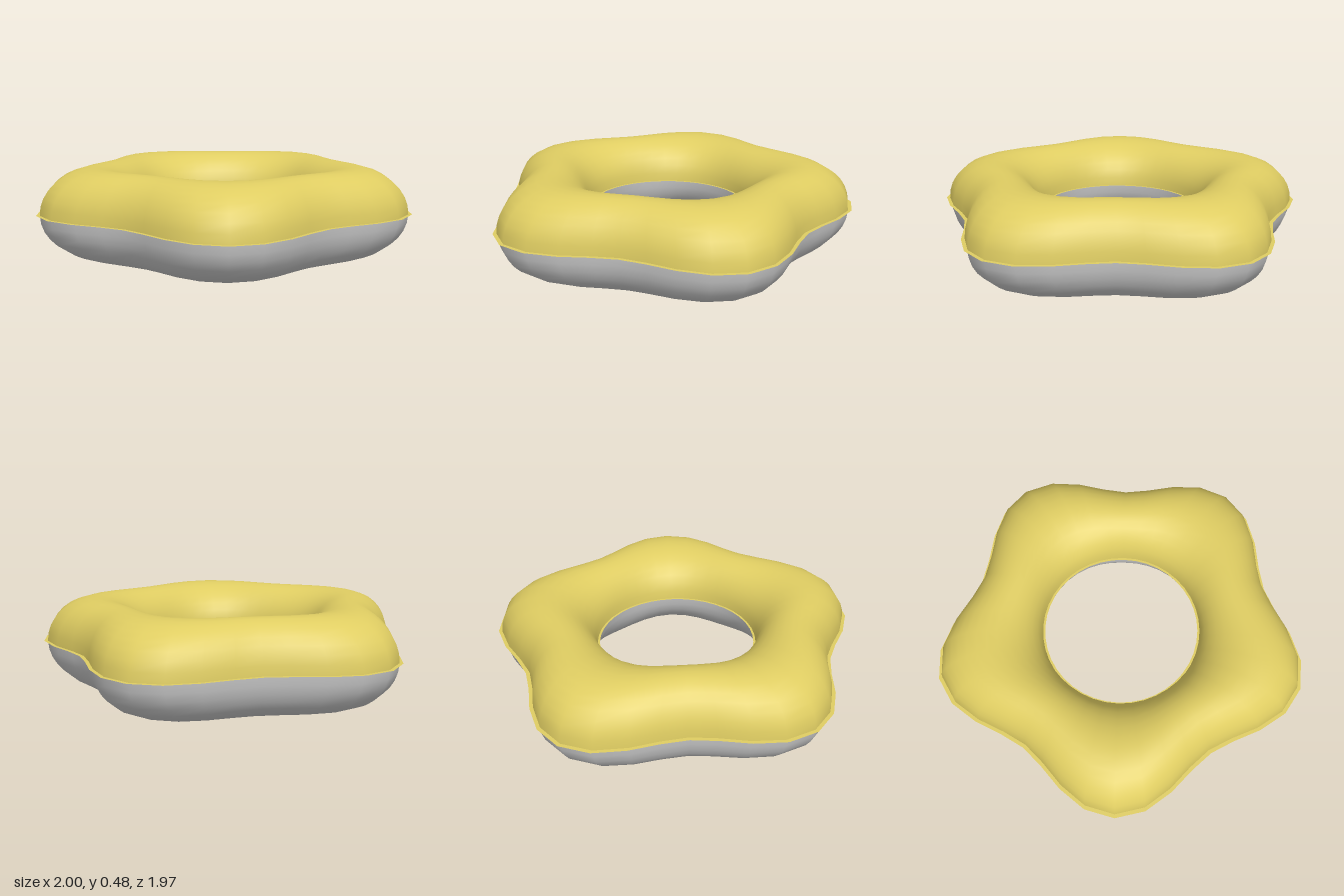
import * as THREE from 'three';

const SEGMENTS = 40;          // steps around the ring
const CENTER = [0.012, -0.065];
const MID = 0.243, HALF_HEIGHT = 0.238;
const HOLE = 0.44, LIP = 0.02;
const TIP = THREE.MathUtils.degToRad(93.8);

// five-lobed rim radius at an angle
const rim = (a) => 0.947 + 0.095 * Math.cos(5 * (a - TIP));

// closed strip around the ring; profile(angle, t) gives [radius, height]
function sweep(steps, profile) {
  const pos = [], index = [];
  const row = steps + 1;
  for (let i = 0; i < SEGMENTS; i++) {
    const a = TIP + (i / SEGMENTS) * Math.PI * 2;
    for (let j = 0; j <= steps; j++) {
      const [r, y] = profile(a, j / steps);
      pos.push(CENTER[0] + r * Math.cos(a), y, CENTER[1] + r * Math.sin(a));
    }
    for (let j = 0; j < steps; j++) {
      const p = i * row + j, q = ((i + 1) % SEGMENTS) * row + j;
      index.push(p, p + 1, q, q, p + 1, q + 1);
    }
  }
  const g = new THREE.BufferGeometry();
  g.setAttribute('position', new THREE.Float32BufferAttribute(pos, 3));
  g.setIndex(index);
  g.computeVertexNormals();
  return g;
}

// half of the elliptical tube section, starting at angle "from"
const halfTube = (from) => sweep(16, (a, t) => {
  const outer = rim(a) - LIP;
  const phi = from + t * Math.PI;
  const r = (outer + HOLE) / 2 + ((outer - HOLE) / 2) * Math.cos(phi);
  return [r, MID + HALF_HEIGHT * Math.sin(phi)];
});

export function createModel() {
  const model = new THREE.Group();
  model.name = 'starRing';
  const yellow = new THREE.MeshStandardMaterial({ color: 0xdfcd62, side: THREE.DoubleSide });
  yellow.name = 'yellow';
  const grey = new THREE.MeshStandardMaterial({ color: 0xc8c8c8, side: THREE.DoubleSide });
  grey.name = 'grey';

  const add = (name, geometry, material) => {
    const mesh = new THREE.Mesh(geometry, material);
    mesh.name = name;
    model.add(mesh);
  };

  // upper and lower shells
  add('upperShell', halfTube(0), yellow);
  add('lowerShell', halfTube(Math.PI), grey);

  // thin seam lips around the outside and the hole
  add('outerLip', sweep(1, (a, t) => [rim(a) - t * LIP, MID]), yellow);
  add('innerLip', sweep(1, (a, t) => [HOLE - t * 0.012, MID]), yellow);
  return model;
}
